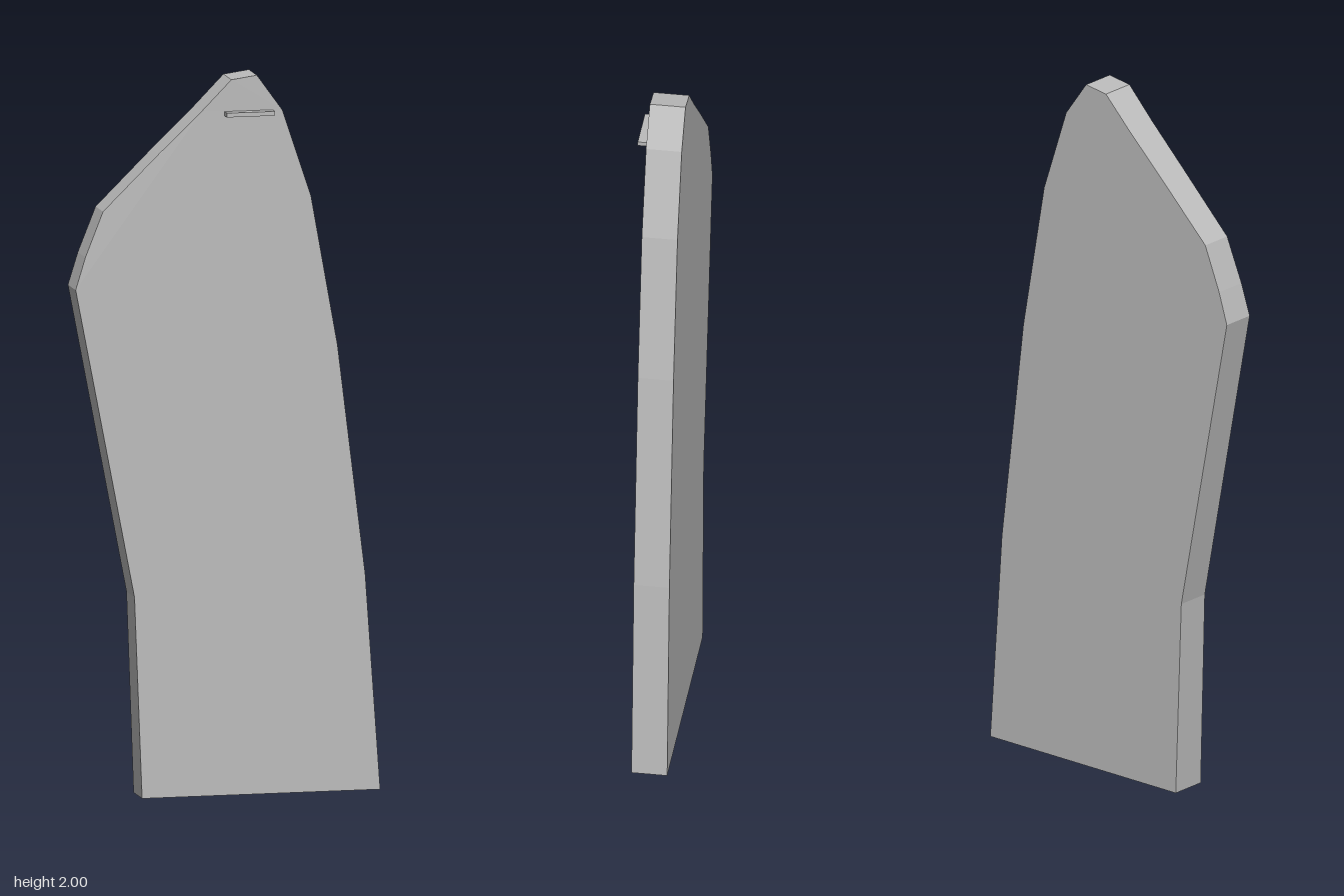
import * as THREE from 'three';

// Outline of the panel, counter-clockwise from the front: x, y, z of the front face
const OUTLINE = [
  [-0.245, 0, 0.042], [0.427, 0, 0.036], [0.385, 0.6, 0.036], [0.307, 1.24, 0.036],
  [0.232, 1.66, 0.036], [0.152, 1.9, 0.036], [0.08, 2, 0.036], [0.008, 1.99, 0.036],
  [-0.075, 1.905, 0.034], [-0.195, 1.79, 0.031], [-0.352, 1.635, 0.029],
  [-0.402, 1.51, 0.031], [-0.43, 1.42, 0.033], [-0.265, 0.56, 0.036],
];
const BACK = -0.063;

export function createModel() {
  const group = new THREE.Group();
  const grey = new THREE.MeshStandardMaterial({ color: 0xbcbcbc, flatShading: true });
  grey.name = 'light grey';

  // Flat slab, its front face very slightly warped
  const shape = new THREE.Shape(OUTLINE.map(([x, y]) => new THREE.Vector2(x, y)));
  const slab = new THREE.ExtrudeGeometry(shape, { depth: 1, bevelEnabled: false });
  const pos = slab.attributes.position;
  for (let i = 0; i < pos.count; i++) {
    const corner = OUTLINE.find(([x, y]) =>
      Math.hypot(x - pos.getX(i), y - pos.getY(i)) < 1e-4);
    pos.setZ(i, pos.getZ(i) > 0.5 ? corner[2] : BACK);
  }
  slab.computeVertexNormals();
  const panel = new THREE.Mesh(slab, grey);
  panel.name = 'panel';
  group.add(panel);

  // Thin ledge near the top of the front face
  const ledge = new THREE.Mesh(new THREE.BoxGeometry(0.136, 0.012, 0.033), grey);
  ledge.name = 'ledge';
  ledge.position.set(0.057, 1.896, 0.0465);
  group.add(ledge);

  return group;
}
